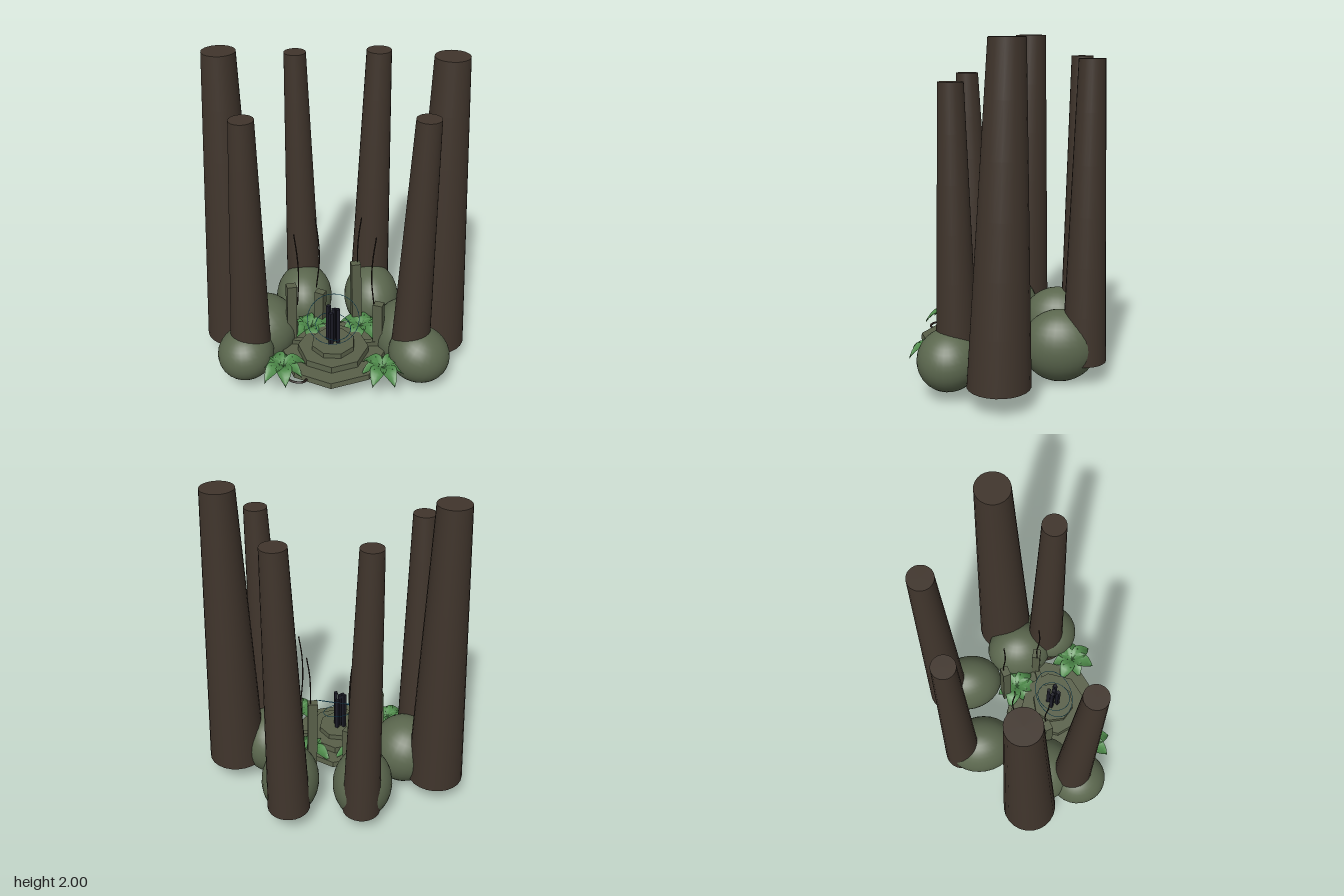
import * as THREE from 'three';

const mat = (name, color, extra = {}) => {
  const m = new THREE.MeshStandardMaterial({ color, ...extra });
  m.name = name;
  return m;
};

export function createModel() {
  const model = new THREE.Group();
  model.name = 'forestShrine';
  const bark = mat('bark', 0x40352c);
  const moss = mat('mossyRock', 0x5b674e);
  const stone = mat('stone', 0x596049, { flatShading: true });
  const leafGreen = mat('leafGreen', 0x4e8a4a, { side: THREE.DoubleSide });
  const obsidian = mat('obsidian', 0x1b1b26, { flatShading: true });
  const glow = mat('glowBlue', 0x2299cc);
  const vineBrown = mat('vineBrown', 0x2a211b);

  const add = (name, geometry, material, x = 0, y = 0, z = 0, parent = model) => {
    const mesh = new THREE.Mesh(geometry, material);
    mesh.name = name;
    mesh.position.set(x, y, z);
    parent.add(mesh);
    return mesh;
  };

  // Tall leaning trunks: base x, z, radius, then top x, z, radius, height
  const trunks = [
    [-0.65, -0.03, 0.172, -0.645, -0.08, 0.097, 2.0],
    [0.645, -0.005, 0.178, 0.64, -0.05, 0.1, 2.0],
    [-0.225, -0.42, 0.115, -0.253, -0.42, 0.066, 1.88],
    [0.215, -0.46, 0.13, 0.245, -0.48, 0.075, 1.88],
    [-0.505, 0.27, 0.128, -0.48, 0.315, 0.07, 1.765],
    [0.47, 0.25, 0.122, 0.51, 0.262, 0.07, 1.765],
  ];
  const trunkBase = 0.13;
  for (const [bx, bz, br, tx, tz, tr, top] of trunks) {
    const h = top - trunkBase;
    const g = new THREE.CylinderGeometry(tr, br, h, 24, 6);
    g.translate(0, h / 2, 0);
    const lean = new THREE.Matrix4().set(
      1, (tx - bx) / h, 0, 0,
      0, 1, 0, 0,
      0, (tz - bz) / h, 1, 0,
      0, 0, 0, 1);
    g.applyMatrix4(lean);
    add('trunk', g, bark, bx, trunkBase, bz);
  }

  // Rounded mossy boulders: centre, radii, turn, tilt
  const boulders = [
    [-0.215, 0.225, -0.29, 0.183, 0.212, 0.225, 0.05, 0],
    [0.23, 0.222, -0.32, 0.178, 0.214, 0.225, 0.12, 0],
    [-0.44, 0.235, 0.075, 0.212, 0.215, 0.22, 0.1, 0.25],
    [0.43, 0.215, 0.06, 0.185, 0.212, 0.215, 0, -0.15],
    [-0.53, 0.215, 0.31, 0.172, 0.16, 0.18, 0, 0.1],
    [0.525, 0.225, 0.29, 0.19, 0.172, 0.18, 0, -0.35],
  ];
  for (const [x, y, z, rx, ry, rz, turn, tilt] of boulders) {
    const rock = add('boulder', new THREE.SphereGeometry(1, 28, 18), moss, x, y, z);
    rock.scale.set(rx, ry, rz);
    rock.rotation.set(0, turn, tilt);
  }

  // Stepped octagonal platform
  const cz = 0.23;
  const tiers = [
    [0.32, 0.15, 0.185, 0],
    [0.22, 0.185, 0.225, 0],
    [0.138, 0.225, 0.257, Math.PI / 8],
  ];
  for (const [r, y0, y1, turn] of tiers) {
    const tier = add('platformTier', new THREE.CylinderGeometry(r * 0.985, r, y1 - y0, 8),
      stone, 0, (y0 + y1) / 2, cz);
    tier.rotation.y = turn;
  }

  // Cluster of dark shards on the altar
  const shards = new THREE.Group();
  shards.name = 'shardCluster';
  shards.position.set(0, 0.255, cz - 0.005);
  shards.rotation.y = 0.35;
  model.add(shards);
  const shardHeights = [0.25, 0.23, 0.255, 0.22, 0.24];
  shardHeights.forEach((h, i) => {
    const a = i * Math.PI / 2 + Math.PI / 4;
    const r = i === 4 ? 0 : 0.032;
    const s = add('shard', new THREE.BoxGeometry(0.022, h, 0.022), obsidian,
      Math.cos(a) * r, h / 2, Math.sin(a) * r, shards);
    s.rotation.y = i * 0.3;
  });

  // Thin glowing rings floating around the shards
  for (const [r, y, tiltX, tiltZ] of [[0.158, 0.425, 0.65, 0.05], [0.108, 0.37, 0.22, -0.2]]) {
    const g = new THREE.TorusGeometry(r, 0.0018, 5, 48);
    g.rotateX(Math.PI / 2);
    const ring = add('glowRing', g, glow, 0, y, cz);
    ring.rotation.set(tiltX, 0, tiltZ);
  }

  // Standing stones, each with a thin vine rising above it
  const pillars = [
    [-0.262, 0.14, 0.6, 0.3, -0.235],
    [-0.095, -0.05, 0.43, -0.4, -0.12],
    [0.132, -0.075, 0.635, 0.25, 0.16],
    [0.277, 0.155, 0.49, -0.3, 0.25],
  ];
  pillars.forEach(([x, z, top, turn, vx], i) => {
    const h = top - 0.15;
    const p = add('standingStone', new THREE.BoxGeometry(0.06, h, 0.05), stone, x, 0.15 + h / 2, z);
    p.rotation.set(0, turn, x > 0 ? 0.02 : -0.02);
    const s = vx < 0 ? 1 : -1;
    const path = new THREE.CatmullRomCurve3([
      new THREE.Vector3(vx, 0.965, z),
      new THREE.Vector3(vx + 0.017 * s, 0.82, z + 0.005),
      new THREE.Vector3(vx + 0.022 * s, 0.66, z - 0.01),
      new THREE.Vector3(vx + (i % 2 ? 0.002 : 0.012) * s, 0.46, z),
    ]);
    add('vine', new THREE.TubeGeometry(path, 20, 0.004, 5), vineBrown);
  });

  // Fallen slabs beside the middle step
  for (const s of [-1, 1]) {
    const slab = add('fallenSlab', new THREE.BoxGeometry(0.11, 0.03, 0.035), stone, 0.22 * s, 0.2, 0.165);
    slab.rotation.y = 0.1 * s;
  }

  // Broad drooping leaves arranged as rosettes
  const leafGeometry = new THREE.PlaneGeometry(1, 1, 4, 8);
  const pos = leafGeometry.attributes.position;
  for (let i = 0; i < pos.count; i++) {
    const u = pos.getX(i) * 2;
    const t = pos.getY(i) + 0.5;
    const half = 0.048 * Math.pow(Math.sin(Math.PI * Math.pow(t, 0.85)), 0.8) || 0;
    pos.setXYZ(i, u * half, 0.04 * Math.sin(Math.PI * t) - 0.035 * t * t + 0.012 * u * u, 0.15 * t);
  }
  leafGeometry.computeVertexNormals();
  const plants = [[-0.295, 0.42, 0.2], [0.305, 0.41, 0.5], [-0.15, 0.02, 0.1], [0.165, 0, 0.7]];
  for (const [x, z, turn] of plants) {
    const plant = new THREE.Group();
    plant.name = 'leafyPlant';
    plant.position.set(x, 0.2, z);
    model.add(plant);
    for (let i = 0; i < 7; i++) {
      const leaf = add('leaf', leafGeometry, leafGreen, 0, 0, 0, plant);
      leaf.rotation.y = turn + i * Math.PI * 2 / 7;
      leaf.scale.setScalar(i % 2 ? 0.88 : 1.02);
    }
  }

  // Small root arching by the platform edge
  const root = new THREE.CatmullRomCurve3([
    new THREE.Vector3(-0.14, 0.16, 0.47), new THREE.Vector3(-0.17, 0.17, 0.52),
    new THREE.Vector3(-0.24, 0.17, 0.51), new THREE.Vector3(-0.3, 0.17, 0.42),
  ]);
  add('root', new THREE.TubeGeometry(root, 16, 0.007, 6), vineBrown);

  return model;
}
